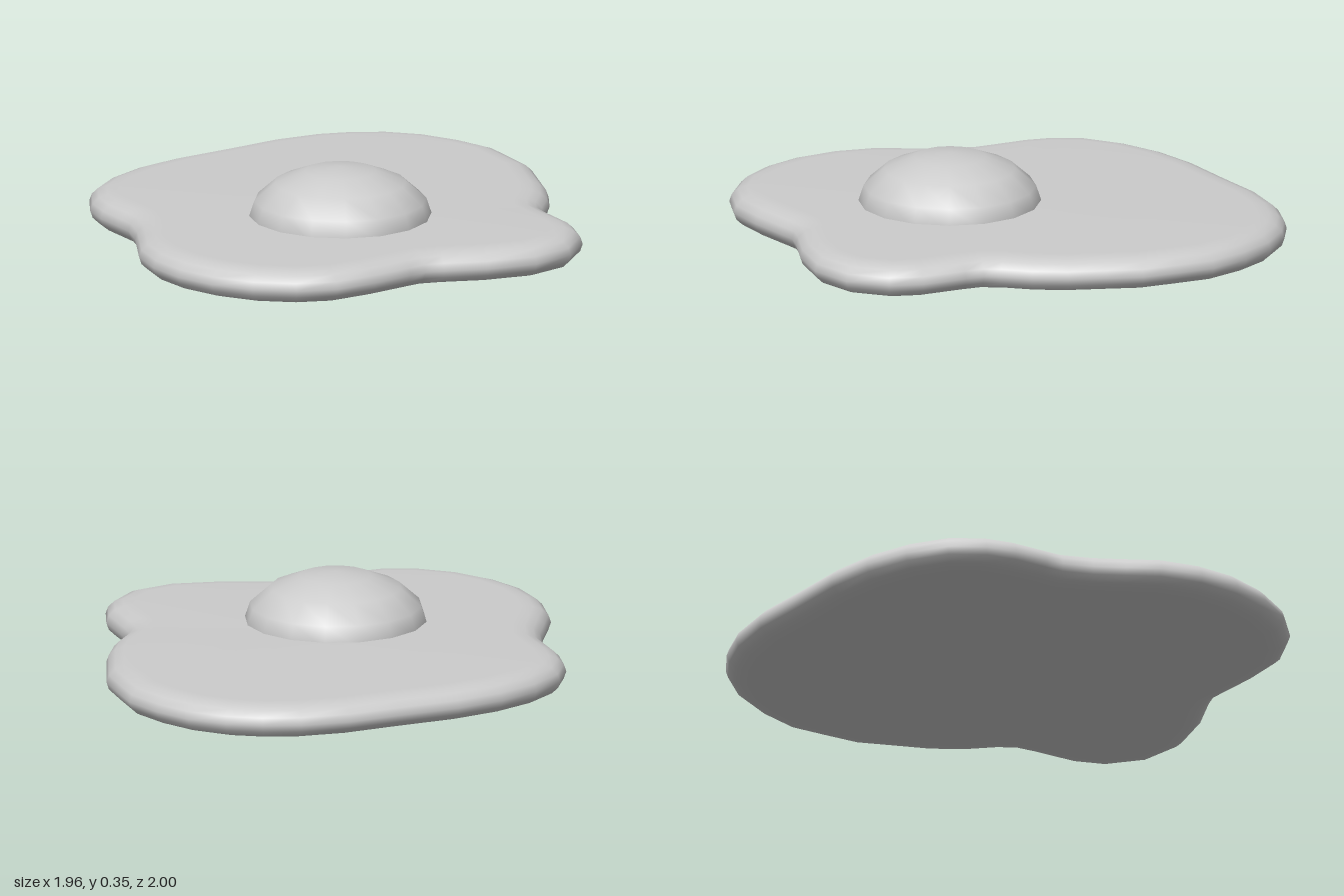
import * as THREE from 'three';

// Outline of the egg white seen from above, as [x, z]
const OUTLINE = [
  [0.2, -1], [0.4, -1], [0.55, -0.965], [0.685, -0.9], [0.81, -0.79], [0.9, -0.65], [0.965, -0.485],
  [0.972, -0.33], [0.975, -0.18], [0.935, -0.035], [0.895, 0.11], [0.835, 0.24], [0.76, 0.345],
  [0.73, 0.405], [0.73, 0.48], [0.74, 0.665], [0.705, 0.8], [0.585, 0.935], [0.405, 0.995],
  [0.2, 0.975], [0.03, 0.925], [-0.045, 0.91], [-0.115, 0.925], [-0.295, 0.965], [-0.47, 0.985],
  [-0.63, 0.94], [-0.775, 0.84], [-0.885, 0.7], [-0.955, 0.54], [-0.98, 0.37], [-0.96, 0.2],
  [-0.905, 0.07], [-0.855, -0.05], [-0.825, -0.17], [-0.83, -0.245], [-0.84, -0.385],
  [-0.825, -0.51], [-0.76, -0.65], [-0.63, -0.77], [-0.465, -0.86], [-0.27, -0.92], [-0.02, -0.96],
];

// Cross-section from bottom centre to top centre: [inset from rim, scale to centre, height]
const SECTION = [
  [0.12, 0, 0.006], [0.12, 0.5, 0.009], [0.12, 1, 0.015], [0.07, 1, 0.02], [0.035, 1, 0.031],
  [0.01, 1, 0.054], [0, 1, 0.083], [0.01, 1, 0.112], [0.035, 1, 0.136], [0.07, 1, 0.148],
  [0.12, 1, 0.154], [0.12, 0.5, 0.158], [0.12, 0, 0.159],
];

// Rounded slab: inset copies of the outline joined into a closed skin
function slabGeometry(outline, section) {
  const n = outline.length;
  const positions = [], indices = [];
  section.forEach(([inset, scale, y], j) => {
    outline.forEach(([x, z], i) => {
      const [px, pz] = outline[(i + n - 1) % n];
      const [qx, qz] = outline[(i + 1) % n];
      const len = Math.hypot(qx - px, qz - pz);
      const nx = (qz - pz) / len, nz = (px - qx) / len;
      positions.push((x - nx * inset) * scale, y, (z - nz * inset) * scale);
      if (j === section.length - 1) return;
      const a = j * n + i, c = j * n + (i + 1) % n;
      if (j > 0) indices.push(a, a + n, c);
      if (j < section.length - 2) indices.push(c, a + n, c + n);
      // The end rings collapse to a point, so they need one triangle per side
      if (j === 0) indices.push(a, a + n, c + n);
    });
  });
  const geometry = new THREE.BufferGeometry();
  geometry.setAttribute('position', new THREE.Float32BufferAttribute(positions, 3));
  geometry.setIndex(indices);
  geometry.computeVertexNormals();
  return geometry;
}

export function createModel() {
  const group = new THREE.Group();
  group.name = 'friedEgg';
  const material = new THREE.MeshStandardMaterial({ color: 0xcccccc });

  const white = new THREE.Mesh(slabGeometry(OUTLINE, SECTION), material);
  white.name = 'eggWhite';
  group.add(white);

  // Yolk: a flattened dome whose rim sinks into the white
  const dome = new THREE.SphereGeometry(0.37, 16, 4, 0, Math.PI * 2, 0, Math.PI / 2);
  dome.scale(1, 0.22 / 0.37, 1);
  const yolk = new THREE.Mesh(dome, material);
  yolk.name = 'yolk';
  yolk.position.set(-0.08, 0.135, 0.22);
  group.add(yolk);

  return group;
}
